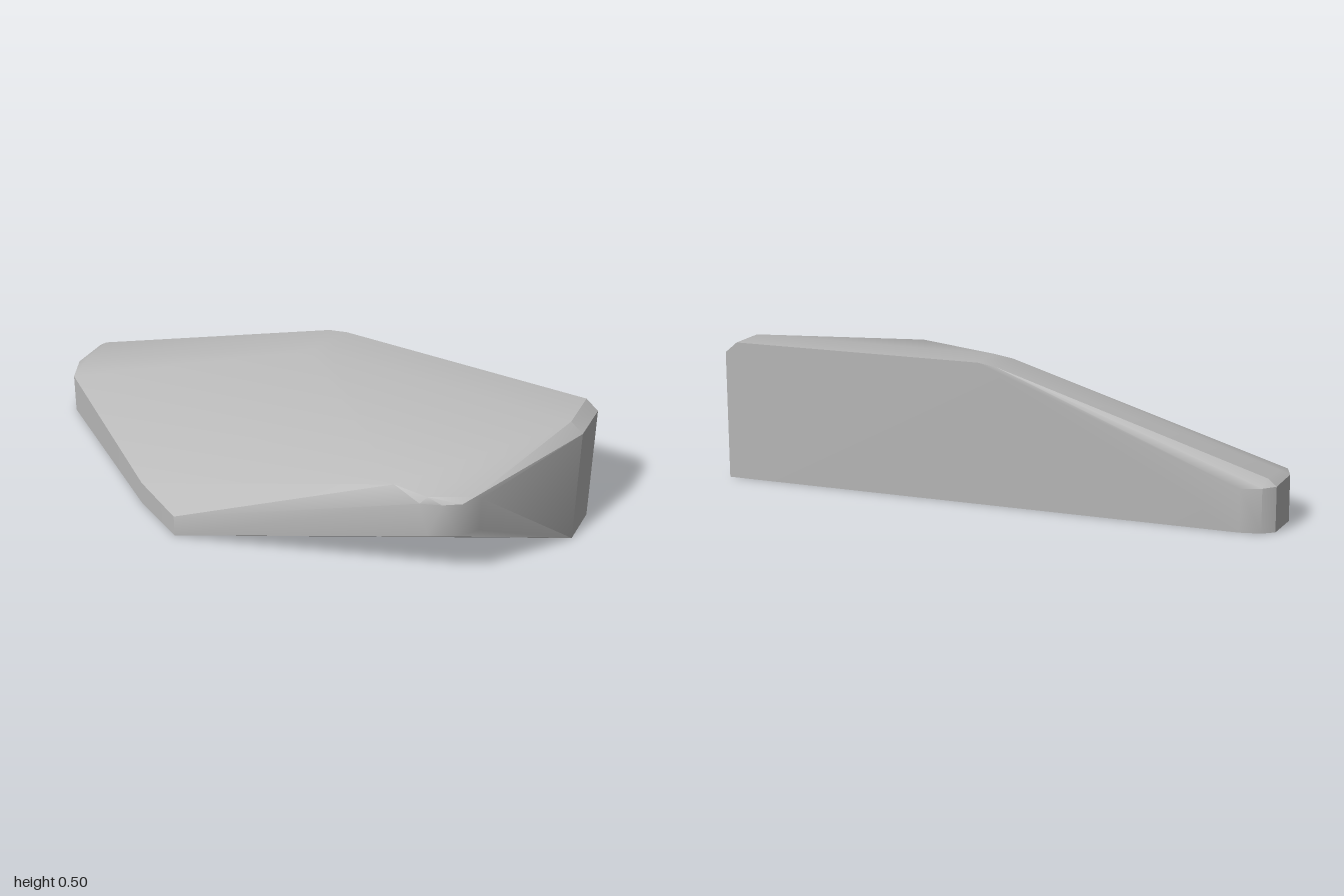
import * as THREE from 'three';
import { ConvexGeometry } from 'three/addons/geometries/ConvexGeometry.js';
import { toCreasedNormals } from 'three/addons/utils/BufferGeometryUtils.js';

const points = (list) => list.map(([x, y, z]) => new THREE.Vector3(x, y, z));

export function createModel() {
  const group = new THREE.Group();
  const grey = new THREE.MeshStandardMaterial({ color: 0xb8b8b8 });
  grey.name = 'light grey';

  // Upright rim around the low end: x, z, height of the wall
  const lowEnd = [
    [-0.88, -0.385, 0.148], [-0.95, -0.37, 0.152], [-0.99, -0.34, 0.155],
    [-1, -0.2, 0.16], [-0.97, -0.11, 0.155], [-0.45, 0.28, 0.095], [-0.26, 0.385, 0.085],
  ].flatMap(([x, z, h]) => [[x, 0, z], [x, h, z]]);

  // Rear ridge, sloping crease and bevelled tall end
  const top = [
    [-0.96, 0.178, -0.335], [-0.97, 0.178, -0.22],
    [-0.03, 0.484, -0.385], [-0.03, 0.484, -0.235],
    [0.04, 0.495, -0.385], [0.04, 0.495, -0.235],
    [0.955, 0.495, -0.385], [0.955, 0.495, -0.235],
    [0.52, 0.412, 0.255], [0.64, 0.397, 0.25], [0.78, 0.395, 0.175],
  ];
  const tallEnd = [
    [1, 0, -0.385], [1, 0, -0.235], [1, 0.457, -0.385], [1, 0.457, -0.235],
  ];

  // Rounded front corner above the raised underside
  const corner = [
    [0.62, 0.375, 0.268], [0.69, 0.375, 0.243], [0.75, 0.378, 0.21], [0.795, 0.38, 0.155],
    [0.65, 0.24, 0.26], [0.74, 0.24, 0.215], [0.79, 0.235, 0.145],
  ];

  const geometry = new ConvexGeometry(points([...lowEnd, ...top, ...tallEnd, ...corner]));
  const body = new THREE.Mesh(toCreasedNormals(geometry, 0.52), grey);
  body.name = 'wedgeBody';
  group.add(body);
  return group;
}
